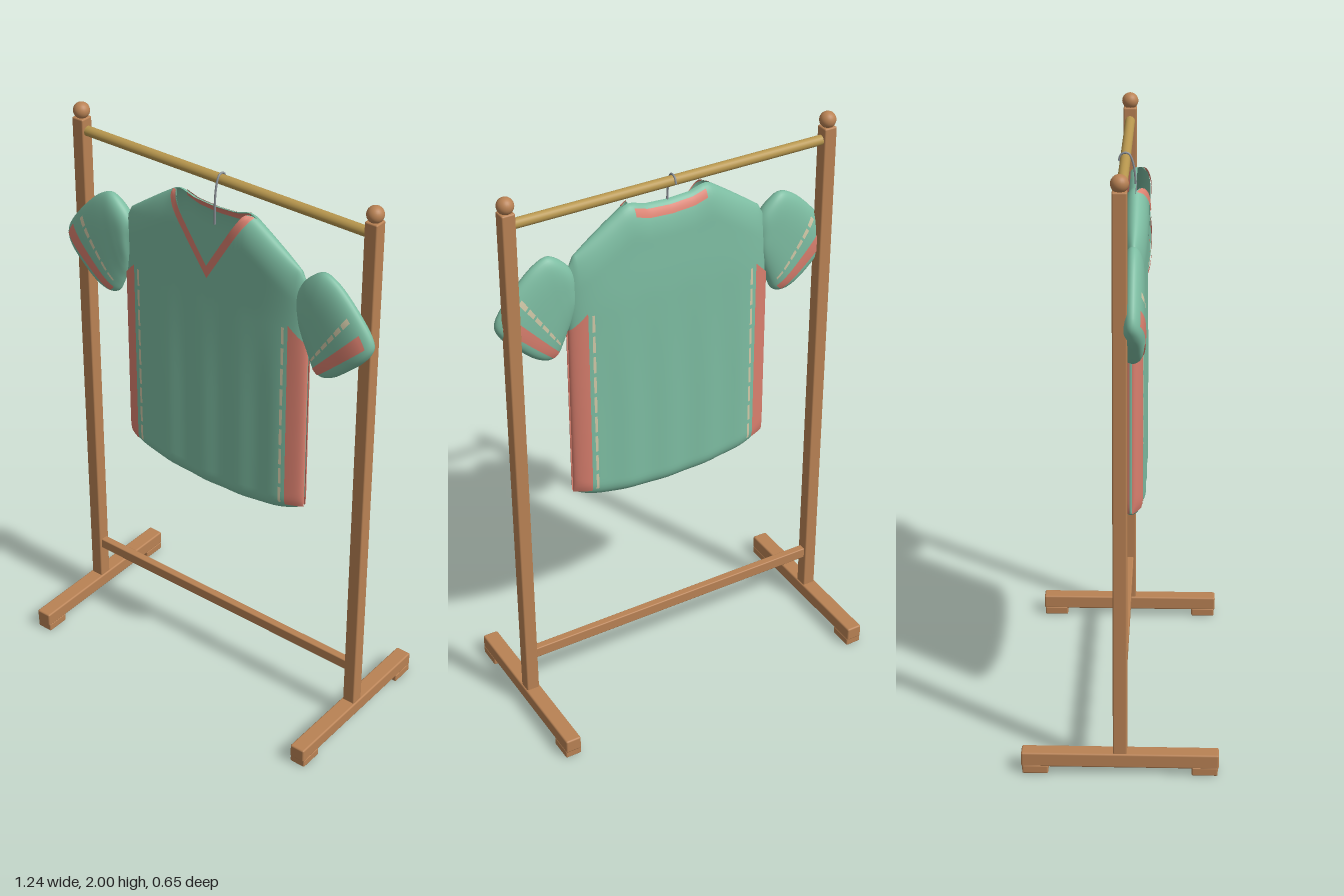
import * as THREE from 'three';
import { mergeVertices, mergeGeometries } from 'three/addons/utils/BufferGeometryUtils.js';
import { RoundedBoxGeometry } from 'three/addons/geometries/RoundedBoxGeometry.js';

const mat = (name, color, side = THREE.FrontSide) => {
  const m = new THREE.MeshStandardMaterial({ color, side });
  m.name = name;
  return m;
};
const { lerp, clamp, smoothstep } = THREE.MathUtils;

// Piecewise linear lookup in [x, y] pairs
function lookup(points, x) {
  for (let i = 1; i < points.length; i++) {
    const [x0, y0] = points[i - 1], [x1, y1] = points[i];
    if (x <= x1) return lerp(y0, y1, (x - x0) / (x1 - x0));
  }
  return points[points.length - 1][1];
}

// Surface patch from fn(s, t), both 0..1
function patch(fn, ns, nt, flip = false) {
  const pos = [], idx = [];
  for (let j = 0; j <= nt; j++) for (let i = 0; i <= ns; i++) pos.push(...fn(i / ns, j / nt));
  for (let j = 0; j < nt; j++) for (let i = 0; i < ns; i++) {
    const a = j * (ns + 1) + i, b = a + 1, c = a + ns + 1, d = c + 1;
    if (flip) idx.push(a, d, b, a, c, d);
    else idx.push(a, b, d, a, d, c);
  }
  const g = new THREE.BufferGeometry();
  g.setAttribute('position', new THREE.Float32BufferAttribute(pos, 3));
  g.setIndex(idx);
  return g;
}

// Joins patches and smooths across their seams
function join(patches) {
  const g = mergeVertices(mergeGeometries(patches), 1e-4);
  g.computeVertexNormals();
  return g;
}

// Shirt body: rounded panels, closed at shoulders, sides and hem, open at the neck
const HALF = 0.368, NECK = 0.135, MID = 0.028;
const shoulder = [[0, 1.825], [0.08, 1.83], [NECK, 1.847], [0.16, 1.84], [0.22, 1.8],
  [0.28, 1.758], [0.34, 1.715], [HALF, 1.66]];
const topY = x => lookup(shoulder, Math.abs(x));
const neckY = x => Math.min(1.63 + 1.6 * Math.abs(x), topY(x));
const hemY = u => 0.76 + 0.045 * u * u + 0.02 * u ** 8;

function body(side, u, y, lift = 0) {
  const x = u * HALF;
  const round = (gap, r) => Math.sqrt(Math.max(0, 1 - (1 - clamp(gap / r, 0, 1)) ** 2));
  let top = round(topY(x) - y, 0.11);
  if (side > 0) top = lerp(1, top, smoothstep(Math.abs(x), 0.09, 0.17));
  const f = Math.sqrt(Math.max(0, 1 - Math.abs(u) ** 5)) * top * round(y - hemY(u), 0.06);
  const fold = 0.0025 * Math.cos(x * 42 + side) * smoothstep(1.6 - y, 0, 0.5);
  const z = MID + 0.008 * smoothstep(y, 1.5, 1.8) + side * (f * (0.044 + fold) + lift);
  return [x + Math.sign(u) * Math.abs(u) ** 8 * Math.abs(lift), y, z];
}

function bodyPanel(side) {
  return patch((s, t) => {
    const u = Math.sin((s - 0.5) * Math.PI);
    const top = side > 0 ? neckY(u * HALF) : topY(u * HALF);
    return body(side, u, lerp(hemY(u), top, 0.5 - 0.5 * Math.cos(t * Math.PI)));
  }, 72, 60, side < 0);
}

// Sleeve: sections given by upper x, y, lower x, y and half depth
const sections = [
  [0.34, 1.66, 0.34, 1.55, 0.02], [0.37, 1.7, 0.35, 1.51, 0.032], [0.425, 1.737, 0.362, 1.47, 0.036],
  [0.47, 1.722, 0.375, 1.44, 0.037], [0.54, 1.66, 0.387, 1.41, 0.038], [0.61, 1.57, 0.405, 1.377, 0.038],
  [0.619, 1.535, 0.435, 1.366, 0.034], [0.605, 1.5, 0.48, 1.382, 0.022], [0.575, 1.462, 0.515, 1.408, 0],
];
const curveOf = (a, b) => new THREE.CatmullRomCurve3(sections.map(s => new THREE.Vector3(s[a], s[b], s[4])));
const upper = curveOf(0, 1), lower = curveOf(2, 3);

function sleeve(mirror, side, s, t, lift = 0) {
  const p = lower.getPoint(t).lerp(upper.getPoint(t), s);
  const f = Math.sqrt(Math.max(0, 1 - Math.abs(2 * s - 1) ** 3));
  return [mirror * p.x, p.y, 0.036 + side * (Math.max(0, p.z) * f + lift)];
}

export function createModel() {
  const wood = mat('wood', 0xb98254);
  const brass = mat('brass', 0xb8974e);
  const steel = mat('steel', 0x8b9096);
  const fabric = mat('green fabric', 0x7dbda2, THREE.DoubleSide);
  const trim = mat('coral trim', 0xd97f6e, THREE.DoubleSide);
  const thread = mat('cream thread', 0xd2c9a8, THREE.DoubleSide);

  const model = new THREE.Group();
  const rack = new THREE.Group(), shirt = new THREE.Group();
  rack.name = 'rack';
  shirt.name = 'shirt';
  model.add(rack, shirt);
  const add = (group, name, geo, material, x = 0, y = 0, z = 0) => {
    const m = new THREE.Mesh(geo, material);
    m.name = name;
    m.position.set(x, y, z);
    group.add(m);
    return m;
  };

  // Rack ends
  for (const k of [-1, 1]) {
    const x = k * 0.578;
    add(rack, 'post', new RoundedBoxGeometry(0.046, 1.885, 0.046, 2, 0.005), wood, x, 1.0075);
    add(rack, 'finial', new THREE.SphereGeometry(0.028, 24, 16), wood, x, 1.972);
    add(rack, 'foot', new RoundedBoxGeometry(0.056, 0.05, 0.646, 2, 0.006), wood, x, 0.05);
    for (const e of [-1, 1])
      add(rack, 'footPad', new RoundedBoxGeometry(0.058, 0.03, 0.085, 2, 0.005), wood, x, 0.015, e * 0.277);
  }
  // Rails
  add(rack, 'lowerRail', new RoundedBoxGeometry(1.13, 0.04, 0.028, 2, 0.004), wood, 0, 0.22);
  add(rack, 'hangingRail', new THREE.CylinderGeometry(0.017, 0.017, 1.13, 24), brass, 0, 1.905).rotation.z = Math.PI / 2;

  // Hanger hook looped over the rail
  const hook = [[1.76, 0.034], [1.85, 0.032], [1.9, 0.023], [1.922, 0.012], [1.926, 0], [1.92, -0.014], [1.9, -0.021]];
  const hookPath = new THREE.CatmullRomCurve3(hook.map(([y, z]) => new THREE.Vector3(0, y, z)));
  add(model, 'hangerHook', new THREE.TubeGeometry(hookPath, 32, 0.0035, 8), steel);

  // Cloth
  add(shirt, 'shirtBody', join([bodyPanel(1), bodyPanel(-1)]), fabric);
  for (const k of [-1, 1]) {
    const panels = [1, -1].map(side => patch((s, t) =>
      sleeve(k, side, 0.5 - 0.5 * Math.cos(s * Math.PI), t), 28, 40, side * k > 0));
    // Reversed order keeps the outside facing out on both mirrored sleeves
    for (const g of panels) g.index.array.reverse();
    for (const g of panels) g.index.array.reverse();
    add(shirt, 'sleeve', join(panels), fabric);
  }

  // V collar and back neck band
  for (const k of [-1, 1]) {
    add(shirt, 'collarBand', join([patch((s, t) => {
      const x = s * 0.162;
      const low = Math.min(1.585 + 1.58 * x, topY(x));
      return body(1, k * x / HALF, lerp(low, neckY(x), t), 0.004);
    }, 28, 6, k < 0)]), trim);
  }
  for (const lift of [0.004, -0.004]) {
    add(shirt, 'backNeckBand', join([patch((s, t) => {
      const x = lerp(-0.13, 0.13, s);
      return body(-1, x / HALF, topY(x) - lerp(0.036, 0.01, t), lift);
    }, 28, 6, lift > 0)]), trim);
  }

  for (const k of [-1, 1]) for (const side of [-1, 1]) {
    // Side stripes wrapping the seam
    add(shirt, 'sideStripe', join([patch((s, t) => {
      const u = lerp(0.85, 1, Math.sin(s * Math.PI / 2));
      return body(side, k * u, lerp(0.825, 1.52 - 0.4 * (u - 0.85), t), 0.004);
    }, 14, 48, k * side < 0)]), trim);

    // Stitching beside the stripe
    const dashes = [];
    for (let i = 0; i < 9; i++) {
      const y0 = 0.83 + i * 0.077;
      dashes.push(patch((s, t) =>
        body(side, k * lerp(0.79, 0.815, s), y0 + t * 0.062, 0.003), 2, 6, k * side < 0));
    }
    add(shirt, 'sideStitching', join(dashes), thread);

    // Sleeve stripe and stitching, straight across the cuff
    add(shirt, 'sleeveStripe', join([patch((s, t) =>
      sleeve(k, side, lerp(0.06, 0.93, s), lerp(0.585, 0.685, t), 0.004), 24, 6, k * side > 0)]), trim);
    const stitches = [];
    for (let i = 0; i < 6; i++) {
      const a = 0.1 + i * 0.14;
      stitches.push(patch((s, t) =>
        sleeve(k, side, a + s * 0.11, lerp(0.515, 0.535, t), 0.003), 5, 2, k * side > 0));
    }
    add(shirt, 'sleeveStitching', join(stitches), thread);
  }
  return model;
}
